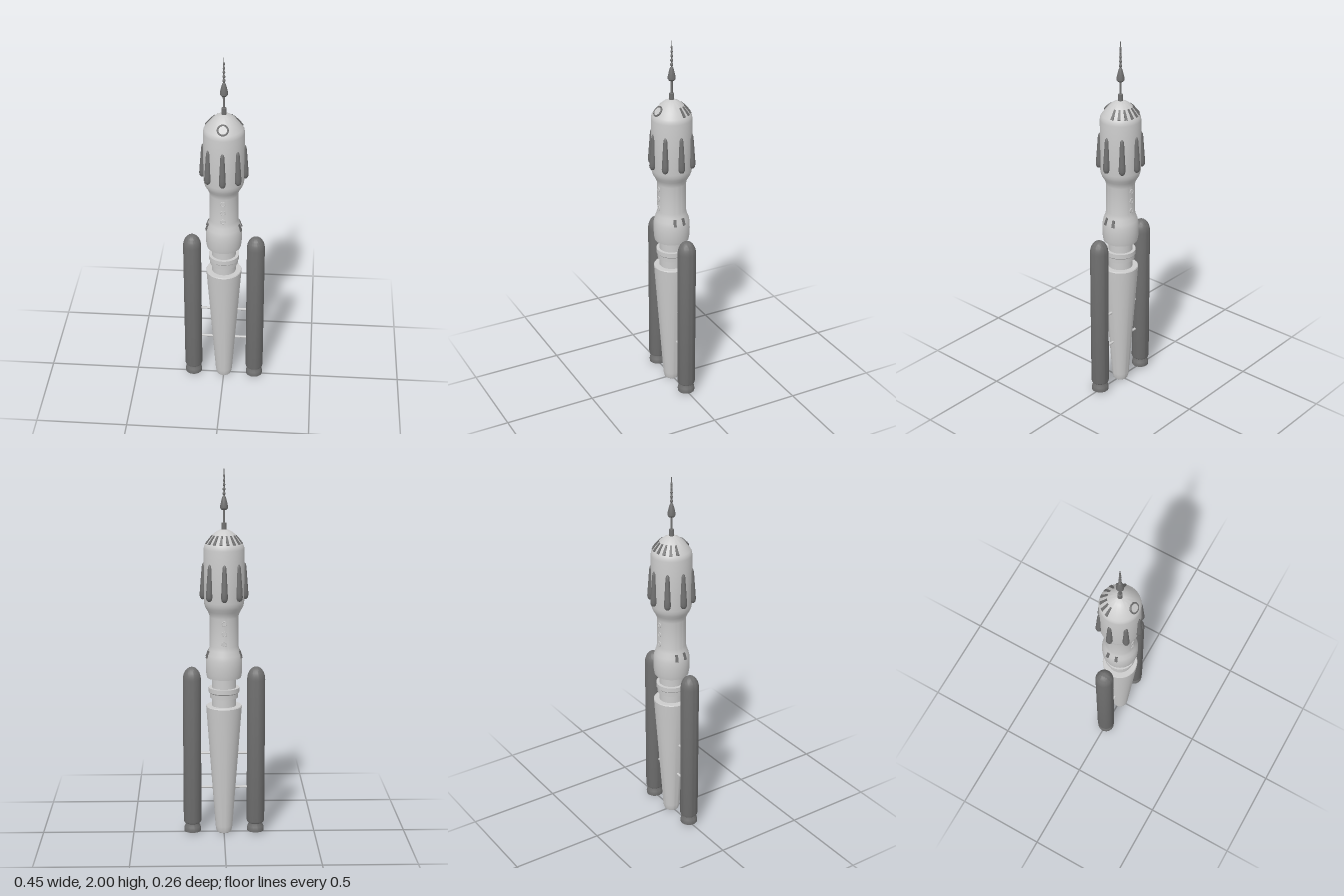
import * as THREE from 'three';
import { toCreasedNormals } from 'three/addons/utils/BufferGeometryUtils.js';

const light = new THREE.MeshStandardMaterial({ color: 0xcccccc });
const dark = new THREE.MeshStandardMaterial({ color: 0x707070 });

function add(parent, name, geometry, material, x = 0, y = 0, z = 0) {
  const mesh = new THREE.Mesh(geometry, material);
  mesh.name = name;
  mesh.position.set(x, y, z);
  parent.add(mesh);
  return mesh;
}

// Revolve [radius, height] pairs, listed from bottom to top
function lathe(profile, segments = 40) {
  const points = profile.map(([r, y]) => new THREE.Vector2(r, y));
  return toCreasedNormals(new THREE.LatheGeometry(points, segments), 0.55);
}

// A group turned about the vertical axis, so its +z points outwards
function spoke(parent, name, angle) {
  const group = new THREE.Group();
  group.name = name;
  group.rotation.y = angle;
  parent.add(group);
  return group;
}

function createBooster(side) {
  const booster = new THREE.Group();
  booster.name = side > 0 ? 'leftBooster' : 'rightBooster';
  booster.position.x = side * 0.174;

  const body = [[0, 0.055], [0.04, 0.055], [0.046, 0.06], [0.049, 0.07]];
  for (let i = 0; i <= 10; i++) {
    const a = (i / 10) * Math.PI / 2;
    body.push([0.049 * Math.cos(a), 0.87 + 0.07 * Math.sin(a)]);
  }
  add(booster, 'boosterBody', lathe(body), dark);
  add(booster, 'boosterNozzle', lathe([
    [0, 0.035], [0.022, 0.035], [0.036, 0.008], [0.046, 0.008],
    [0.047, 0.02], [0.044, 0.035], [0.038, 0.046], [0.037, 0.058],
  ]), dark);

  // Struts to the hull
  for (const y of [0.26, 0.455]) {
    const strut = add(booster, 'strut', new THREE.CylinderGeometry(0.007, 0.007, 0.09, 12), light, -side * 0.08, y, 0);
    strut.rotation.z = Math.PI / 2;
  }
  return booster;
}

export function createModel() {
  const model = new THREE.Group();
  model.name = 'rocket';

  // Tapered tail, ringed coupling, waist and domed head
  add(model, 'tailCone', lathe([
    [0, 0.03], [0.025, 0.03], [0.034, 0], [0.039, 0.004], [0.044, 0.018],
    [0.047, 0.04], [0.097, 0.722], [0.094, 0.727], [0.06, 0.727],
  ]), light);
  add(model, 'coupling', lathe([
    [0.066, 0.715], [0.066, 0.772], [0.076, 0.772], [0.077, 0.797], [0.083, 0.803],
    [0.083, 0.828], [0.066, 0.828], [0.066, 0.89],
  ]), light);
  add(model, 'upperHull', lathe([
    [0.06, 0.884], [0.092, 0.884], [0.096, 0.905], [0.098, 0.95], [0.097, 0.985],
    [0.092, 1.01], [0.082, 1.037], [0.077, 1.06], [0.077, 1.215], [0.08, 1.23],
    [0.088, 1.248], [0.099, 1.266], [0.105, 1.282], [0.108, 1.3], [0.108, 1.58],
    [0.106, 1.595], [0.1, 1.607], [0.08, 1.634], [0.06, 1.657], [0.04, 1.673],
    [0.02, 1.683], [0, 1.686],
  ], 48), light);

  // Eight teardrop pods around the head
  const podShape = lathe([
    [0, 0], [0.009, 0.003], [0.015, 0.011], [0.018, 0.024], [0.017, 0.05],
    [0.011, 0.175], [0.009, 0.188], [0.005, 0.196], [0, 0.2],
  ], 20);
  for (let i = 0; i < 8; i++) {
    const pod = add(spoke(model, 'podMount', i * Math.PI / 4), 'pod', podShape, dark, 0, 1.31, 0.113);
    pod.rotation.x = -0.03;
  }

  // Round window on the front of the dome
  const window = add(model, 'domeWindowRim', new THREE.TorusGeometry(0.026, 0.005, 10, 32), dark, 0, 1.632, 0.08);
  window.rotation.x = -0.69;
  const glass = add(model, 'domeWindow', new THREE.CylinderGeometry(0.025, 0.025, 0.01, 32), light, 0, 1.631, 0.078);
  glass.rotation.x = Math.PI / 2 - 0.69;

  // Fan of tapered slots on the back of the dome
  const slot = new THREE.BoxGeometry(0.016, 0.056, 0.008);
  const p = slot.attributes.position;
  for (let i = 0; i < p.count; i++) if (p.getY(i) > 0) p.setX(i, p.getX(i) * 0.55);
  for (let i = 0; i < 8; i++) {
    const angle = Math.PI + (i - 3.5) * 0.375;
    const vent = add(spoke(model, 'domeSlotMount', angle), 'domeSlot', slot, dark, 0, 1.632, 0.081);
    vent.rotation.x = -0.69;
  }

  // Three portholes on the front and back of the waist
  for (const angle of [0, Math.PI]) {
    const mount = spoke(model, 'portholes', angle);
    for (const y of [1.08, 1.135, 1.19]) {
      add(mount, 'portholeRim', new THREE.TorusGeometry(0.012, 0.0025, 8, 24), light, 0, y, 0.077);
      const pane = add(mount, 'porthole', new THREE.CylinderGeometry(0.012, 0.012, 0.006, 24), light, 0, y, 0.075);
      pane.rotation.x = Math.PI / 2;
    }
  }

  // Paired slots on each side of the lower bulge
  for (const side of [1, -1]) {
    for (const offset of [-0.28, 0.28]) {
      const mount = spoke(model, 'sideSlotMount', side * Math.PI / 2 + offset);
      const vent = add(mount, 'sideSlot', new THREE.BoxGeometry(0.015, 0.04, 0.012), dark, 0, 1.012, 0.089);
      vent.rotation.x = -0.35;
    }
  }

  // Antenna: socket, rod, bulb and beaded tip
  add(model, 'antenna', lathe([
    [0.013, 1.675], [0.013, 1.718], [0.006, 1.72], [0.006, 1.785], [0.014, 1.787],
    [0.02, 1.795], [0.02, 1.81], [0.012, 1.845], [0.008, 1.857], [0.004, 1.86],
    [0.004, 1.97], [0.0015, 1.975], [0.0015, 2], [0, 2],
  ], 20), dark);
  for (let i = 0; i < 5; i++) {
    const bead = add(model, 'antennaBead', new THREE.SphereGeometry(0.008 - i * 0.0006, 12, 8), dark, 0, 1.872 + i * 0.023, 0);
    bead.scale.y = 1.3;
  }

  model.add(createBooster(1), createBooster(-1));
  return model;
}
